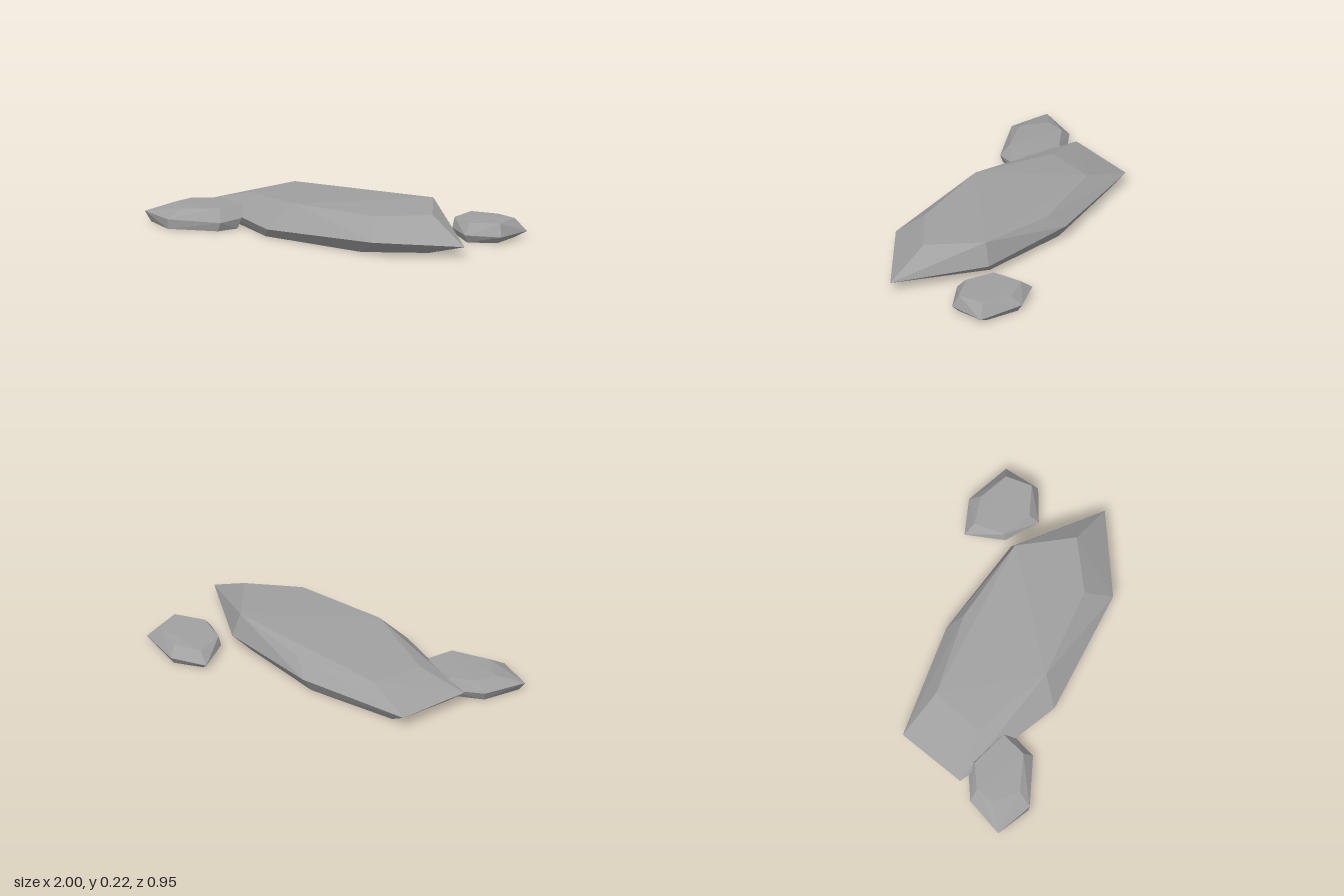
import * as THREE from 'three';
import { ConvexGeometry } from 'three/addons/geometries/ConvexGeometry.js';

const stone = new THREE.MeshStandardMaterial({ color: 0xa0a0a0 });
stone.name = 'grey stone';

// A faceted stone wrapped around three rings of [x, y, z] points: ground, rim and crown.
function makeRock(name, ground, rim, crown) {
  const points = [
    ...ground.map(([x, z]) => new THREE.Vector3(x, 0, z)),
    ...[...rim, ...crown].map((p) => new THREE.Vector3(...p)),
  ];
  const mesh = new THREE.Mesh(new ConvexGeometry(points), stone);
  mesh.name = name;
  return mesh;
}

export function createModel() {
  const group = new THREE.Group();
  group.name = 'flatRocks';

  // Long main slab
  group.add(makeRock('mainSlab',
    [[-0.55, -0.265], [-0.02, -0.265], [0.47, -0.11], [0.71, 0.21], [0.38, 0.38], [-0.25, 0.34], [-0.7, 0.06]],
    [[-0.66, 0.075, -0.32], [0, 0.09, -0.32], [0.57, 0.09, -0.16], [0.955, 0.07, 0.24],
      [0.5, 0.085, 0.465], [-0.21, 0.055, 0.395], [-0.8, 0.08, 0.07]],
    [[-0.4, 0.17, -0.225], [0.08, 0.172, -0.245], [0.54, 0.22, -0.125], [0.71, 0.205, 0.17],
      [0.43, 0.195, 0.325], [-0.09, 0.195, 0.3], [-0.52, 0.155, 0.06]]));

  // Small stone leaning on the slab at the front
  group.add(makeRock('frontStone',
    [[-0.96, 0.37], [-0.86, 0.18], [-0.68, 0.11], [-0.47, 0.27], [-0.53, 0.38], [-0.795, 0.47]],
    [[-1, 0.055, 0.37], [-0.88, 0.055, 0.16], [-0.68, 0.055, 0.07], [-0.45, 0.06, 0.26],
      [-0.51, 0.05, 0.385], [-0.795, 0.055, 0.475]],
    [[-0.82, 0.11, 0.175], [-0.68, 0.115, 0.11], [-0.475, 0.12, 0.2], [-0.54, 0.12, 0.34],
      [-0.75, 0.105, 0.4], [-0.86, 0.105, 0.28]]));

  // Small separate stone at the back
  group.add(makeRock('backStone',
    [[0.6, -0.4], [0.76, -0.45], [0.93, -0.35], [0.92, -0.17], [0.77, -0.1], [0.63, -0.22]],
    [[0.56, 0.04, -0.43], [0.76, 0.045, -0.48], [1, 0.04, -0.355], [0.955, 0.04, -0.15],
      [0.77, 0.045, -0.075], [0.61, 0.04, -0.21]],
    [[0.62, 0.095, -0.395], [0.78, 0.095, -0.418], [0.935, 0.11, -0.33], [0.935, 0.11, -0.18],
      [0.77, 0.105, -0.13], [0.62, 0.1, -0.22]]));

  return group;
}
